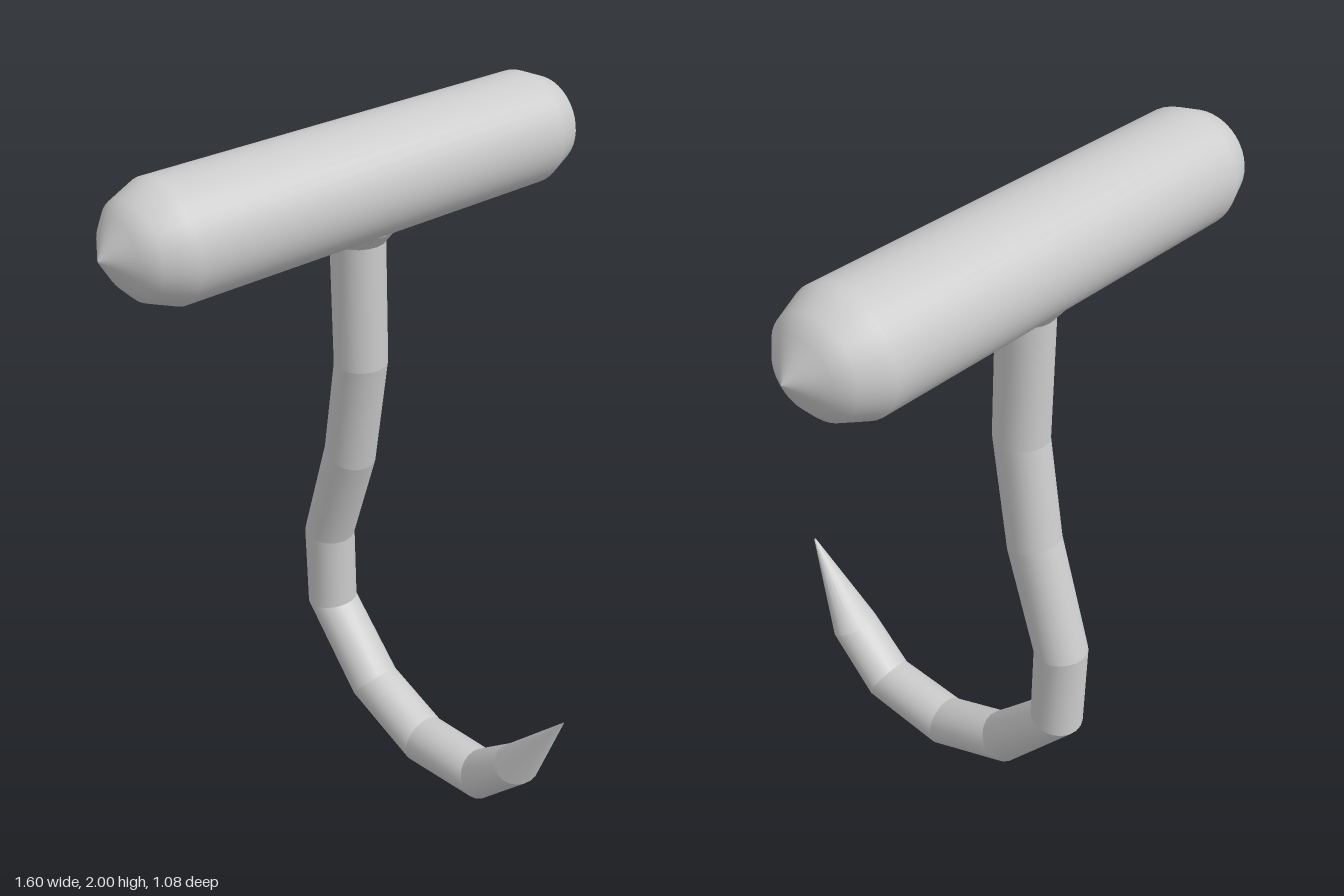
import * as THREE from 'three';
import { mergeGeometries } from 'three/addons/utils/BufferGeometryUtils.js';

const SIDES = 20;

// Strip between two rings; a ring has a centre and a half-thickness vector in the z/y plane
function strip(a, b) {
  const pos = [], idx = [];
  for (const r of [a, b]) {
    for (let i = 0; i < SIDES; i++) {
      const t = (i / SIDES) * Math.PI * 2, c = Math.cos(t), s = Math.sin(t);
      pos.push(r.w * s, r.y + r.hy * c, r.z + r.hz * c);
    }
  }
  for (let i = 0; i < SIDES; i++) {
    const j = (i + 1) % SIDES;
    idx.push(i, j, SIDES + i, j, SIDES + j, SIDES + i);
  }
  const g = new THREE.BufferGeometry();
  g.setAttribute('position', new THREE.Float32BufferAttribute(pos, 3));
  g.setIndex(idx);
  g.computeVertexNormals();
  return g;
}

export function createModel() {
  const group = new THREE.Group();
  const mat = new THREE.MeshStandardMaterial({ color: 0xcccccc, side: THREE.DoubleSide });
  const add = (name, geo) => {
    const m = new THREE.Mesh(geo, mat);
    m.name = name;
    group.add(m);
    return m;
  };

  // Cross grip: a lathed bar with tapered ends, lying along x
  const end = [[0, 0.8], [0.094, 0.742], [0.135, 0.705], [0.17, 0.62]];
  const profile = [
    ...end.map(([r, x]) => new THREE.Vector2(r, -x)),
    ...end.slice().reverse().map(([r, x]) => new THREE.Vector2(r, x)),
  ];
  const grip = add('grip', new THREE.LatheGeometry(profile, 40).rotateZ(Math.PI / 2));
  grip.scale.set(1, 0.955, 1);
  grip.position.set(0, 1.838, -0.29);

  // Small flare where the shank enters the grip
  const collar = add('collar', new THREE.CylinderGeometry(0.11, 0.078, 0.04, SIDES, 1, true));
  collar.position.set(0, 1.69, -0.289);

  // Hook: front (inner) and back (outer) edge of each joint as z, y pairs
  const joints = [
    [-0.212, 1.75, -0.366, 1.75],
    [-0.212, 1.3, -0.366, 1.3],
    [-0.275, 0.955, -0.422, 1.005],
    [-0.385, 0.648, -0.535, 0.664],
    [-0.385, 0.412, -0.533, 0.388],
    [-0.212, 0.234, -0.312, 0.118],
    [-0.024, 0.16, -0.036, 0.004],
    [0.19, 0.17, 0.257, 0.036],
    [0.316, 0.27, 0.427, 0.208],
    [0.538, 0.492, 0.544, 0.497],
  ];
  const rings = joints.map(([z1, y1, z2, y2], i) => ({
    z: (z1 + z2) / 2, y: (y1 + y2) / 2,
    hz: (z1 - z2) / 2, hy: (y1 - y2) / 2,
    w: i === joints.length - 1 ? 0.004 : 0.077,
  }));
  const parts = rings.slice(1).map((r, i) => strip(rings[i], r));
  add('hook', mergeGeometries(parts));

  return group;
}
